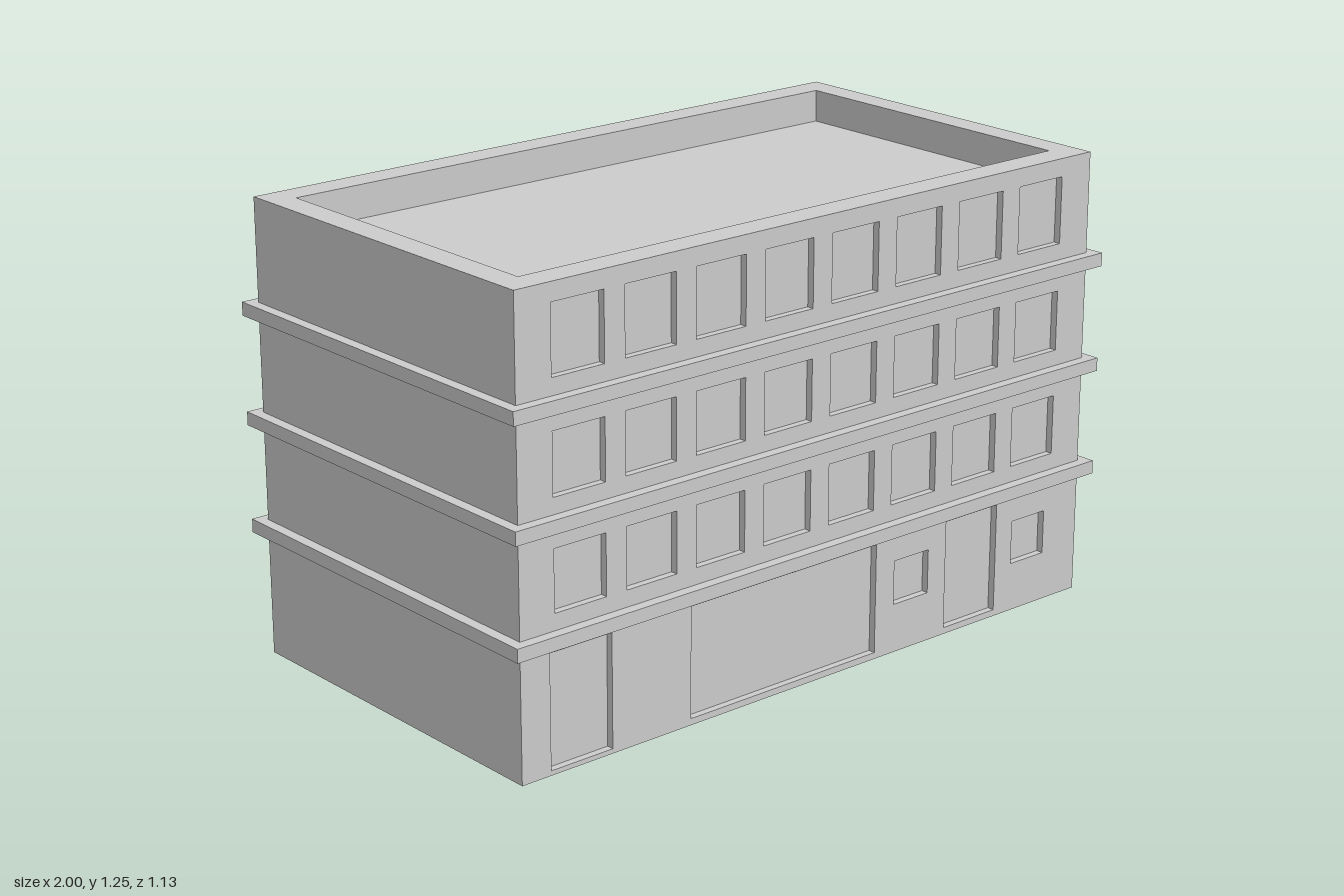
import * as THREE from 'three';

const W = 0.97, D = 0.535, H = 1.25; // half width, half depth, height of the walls
const ROOF = 1.16, REVEAL = 0.02;    // roof deck level, depth of the openings
const material = new THREE.MeshStandardMaterial({ color: 0xcccccc });

// Rectangle as a closed outline, usable as a shape or as a hole
function rect(x0, y0, x1, y1, Type = THREE.Path) {
  return new Type([[x0, y0], [x1, y0], [x1, y1], [x0, y1]].map(p => new THREE.Vector2(...p)));
}

function extrude(shape, depth) {
  return new THREE.ExtrudeGeometry(shape, { depth, bevelEnabled: false });
}

// Horizontal rectangular ring between two heights; z0..z1 are depth limits
function ring(outer, inner, y0, y1) {
  const shape = rect(outer[0], outer[1], outer[2], outer[3], THREE.Shape);
  shape.holes.push(rect(...inner));
  return extrude(shape, y1 - y0).rotateX(-Math.PI / 2).translate(0, y0, 0);
}

export function createModel() {
  const group = new THREE.Group();
  const add = (name, geometry) => {
    const mesh = new THREE.Mesh(geometry, material);
    mesh.name = name;
    group.add(mesh);
  };

  // Solid building mass up to the roof deck, behind the facade
  const core = new THREE.BoxGeometry(2 * W, ROOF, 2 * D - REVEAL);
  add('buildingCore', core.translate(0, ROOF / 2, -REVEAL / 2));

  // Parapet around the sunken roof (shape y becomes -z)
  add('parapet', ring([-W, -D + REVEAL, W, D], [-0.895, -0.455, 0.895, 0.455], ROOF, H));

  // Front facade with recessed openings
  const facade = rect(-W, 0, W, H, THREE.Shape);
  for (const [y0, y1] of [[0.422, 0.588], [0.718, 0.884], [1.016, 1.2]]) {
    for (let i = 0; i < 8; i++) {
      const x = (i - 3.5) * 0.2237;
      facade.holes.push(rect(x - 0.08, y0, x + 0.08, y1));
    }
  }
  facade.holes.push(
    rect(-0.88, 0.013, -0.687, 0.323), // side door
    rect(-0.432, 0.018, 0.206, 0.323), // shop front
    rect(0.273, 0.137, 0.398, 0.26),   // small window
    rect(0.463, 0.018, 0.655, 0.323),  // main door
    rect(0.717, 0.137, 0.842, 0.26)    // small window
  );
  add('frontFacade', extrude(facade, REVEAL).translate(0, 0, D - REVEAL));

  // Projecting bands between the floors
  for (const y of [0.34, 0.637, 0.934]) {
    add('floorBand', ring([-1, -0.565, 1, 0.565], [-W, -D, W, D], y, y + 0.037));
  }

  return group;
}
